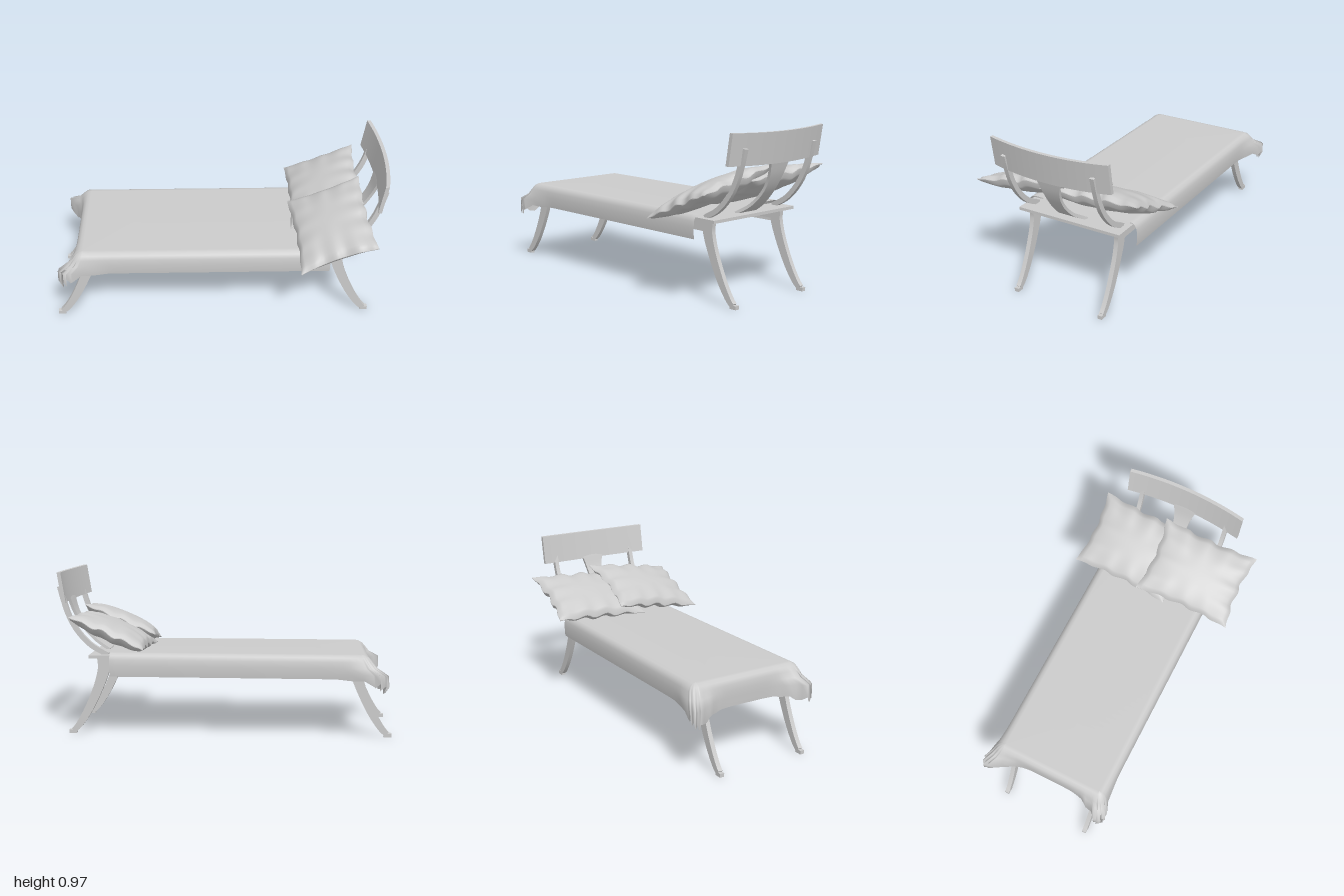
import * as THREE from 'three';

const grey = new THREE.MeshStandardMaterial({ color: 0xcccccc });
const cloth = new THREE.MeshStandardMaterial({ color: 0xcccccc, side: THREE.DoubleSide });
const MID = -0.02; // centre line of the frame in z

function add(parent, name, geometry, x = 0, y = 0, z = 0, material = grey) {
  const mesh = new THREE.Mesh(geometry, material);
  mesh.name = name;
  mesh.position.set(x, y, z);
  parent.add(mesh);
  return mesh;
}

// Apply a rule to every vertex
function bend(geometry, rule) {
  const p = geometry.attributes.position, v = new THREE.Vector3();
  for (let i = 0; i < p.count; i++) {
    rule(v.fromBufferAttribute(p, i));
    p.setXYZ(i, v.x, v.y, v.z);
  }
  geometry.computeVertexNormals();
  return geometry;
}

// Rectangular bar swept along a curve in the xy plane
function curvedBar(points, thickness, width, steps = 24) {
  const curve = new THREE.CatmullRomCurve3(points.map(([x, y]) => new THREE.Vector3(x, y, 0)));
  return bend(new THREE.BoxGeometry(1, 1, 1, 1, steps, 1), v => {
    const t = v.y + 0.5, c = curve.getPoint(t), d = curve.getTangent(t);
    const side = v.x * thickness(t);
    v.set(c.x + d.y * side, c.y - d.x * side, v.z * width(t));
  });
}

// Grid surface with shared vertices: point(i, j) returns [x, y, z]
function gridSurface(ni, nj, point) {
  const pos = [], index = [];
  for (let i = 0; i <= ni; i++) for (let j = 0; j <= nj; j++) pos.push(...point(i, j));
  for (let i = 0; i < ni; i++) for (let j = 0; j < nj; j++) {
    const a = i * (nj + 1) + j, b = a + nj + 1;
    index.push(a, b, a + 1, b, b + 1, a + 1);
  }
  const g = new THREE.BufferGeometry();
  g.setAttribute('position', new THREE.Float32BufferAttribute(pos, 3));
  g.setIndex(index);
  g.computeVertexNormals();
  return g;
}

// Cover: rounded U outline, draped in levels from the centre line to the hem
function blanketGeometry() {
  const zc = -0.025, half = 0.365, end = -0.865, r = 0.05, out = [];
  const run = (n, f) => { for (let i = 0; i < n; i++) out.push(f(i / n)); };
  const corner = (s, a) => [end + r - r * Math.sin(a), zc + s * (half - r + r * Math.cos(a)), -Math.sin(a), s * Math.cos(a)];
  run(40, t => [0.66 + (end + r - 0.66) * t, zc + half, 0, 1]);
  run(12, t => corner(1, t * Math.PI / 2));
  run(30, t => [end, zc + (half - r) * (1 - 2 * t), -1, 0]);
  run(12, t => corner(-1, (1 - t) * Math.PI / 2));
  run(41, t => [end + r + (0.66 - end - r) * t * 41 / 40, zc - half, 0, -1]);
  // inset, height, corner flare
  const levels = [[0.05, 0.5, 0], [0.03, 0.496, 0], [0.012, 0.484, 0.05], [0.002, 0.46, 0.15],
    [0, 0.425, 0.4], [0, 0.39, 0.95], [0.004, 0.36, 1]];
  return gridSurface(out.length - 1, levels.length, (i, j) => {
    const [x, z, nx, nz] = out[i];
    if (j === 0) return [Math.max(x, -0.5), 0.5, zc];
    const [inset, y, flare] = levels[j - 1];
    const s = Math.sign(z - zc) || 1;
    const f = Math.exp(-((Math.hypot(x - end, Math.abs(z - zc) - half + 0.02) / 0.1) ** 2));
    const k = f * flare, fold = Math.sin(i * 1.9) * k;
    const hem = j === levels.length ? 1 : 0;
    const drop = hem * (0.03 * nx * nx + 0.035 * f + 0.025 * fold);
    return [x - nx * inset - 0.1 * k + 0.015 * fold, y - drop, z - nz * inset + s * (s > 0 ? 0.045 : 0.06) * k + 0.01 * fold];
  });
}

// Cushion: two bulging faces with pinched, wavy edges and pointed corners
function cushionGeometry(length, width, thick, phase) {
  return bend(new THREE.BoxGeometry(2, 2, 2, 28, 1, 36), v => {
    const u = v.x, w = v.z, a = 1 - u * u, b = 1 - w * w;
    const puff = Math.pow(Math.max(a * b, 0), 0.42);
    const wrinkle = 0.007 * Math.sin(w * 13 + phase) * u * u * b + 0.007 * Math.sin(u * 11 + phase) * w * w * a;
    v.set(u * length / 2 * (1 - 0.07 * b) + wrinkle,
      v.y * (thick / 2 * puff + 0.002) + wrinkle * 1.2,
      w * width / 2 * (1 - 0.09 * a) + wrinkle);
  });
}

export function createModel() {
  const model = new THREE.Group();
  model.name = 'daybed';

  // Sabre legs; the foot pair is the head pair turned round
  const legShape = curvedBar([[0.895, 0.018], [0.868, 0.045], [0.81, 0.135], [0.737, 0.295], [0.706, 0.4], [0.704, 0.465]],
    t => 0.032 + 0.052 * Math.pow(t, 1.3), () => 0.027);
  for (const [end, x, zs] of [['head', 0, [0.265, -0.304]], ['foot', -0.08, [0.268, -0.286]]]) {
    for (const z of zs) {
      const leg = new THREE.Group();
      leg.name = end + 'Leg';
      add(leg, 'legPost', legShape);
      add(leg, 'toe', new THREE.BoxGeometry(0.045, 0.022, 0.027), 0.9, 0.011, 0);
      leg.position.set(x, 0, z);
      if (end === 'foot') leg.rotation.y = Math.PI;
      model.add(leg);
    }
  }

  // Frame: side rails, end rails and slats
  for (const z of [0.265, -0.304]) add(model, 'sideRail', new THREE.BoxGeometry(1.5, 0.065, 0.025), -0.05, 0.433, z);
  add(model, 'footRail', new THREE.BoxGeometry(0.025, 0.065, 0.55), -0.8, 0.433, MID);
  add(model, 'headPlate', new THREE.BoxGeometry(0.15, 0.018, 0.67), 0.715, 0.471, MID);
  const slats = 9, pitch = 1.43 / slats;
  for (let i = 0; i < slats; i++) {
    add(model, 'slat', new THREE.BoxGeometry(pitch - 0.015, 0.018, 0.55), -0.79 + pitch * (i + 0.5), 0.455, MID);
  }

  // Backrest: two stiles, a waisted splat and a bowed top board
  const rise = [[0.68, 0.478], [0.78, 0.535], [0.86, 0.62], [0.91, 0.71], [0.94, 0.8], [0.962, 0.885]];
  for (const z of [0.265, -0.304]) add(model, 'backStile', curvedBar(rise, () => 0.03, () => 0.026), 0, 0, z);
  const splat = [[0.71, 0.478], [0.8, 0.535], [0.88, 0.62], [0.93, 0.71], [0.962, 0.81]];
  add(model, 'backSplat', curvedBar(splat, () => 0.018, t => 0.09 + 0.28 * (t - 0.5) ** 2), 0, 0, MID);
  add(model, 'topBoard', bend(new THREE.BoxGeometry(0.022, 0.178, 0.75, 1, 4, 30), v => {
    const s = v.z / 0.375;
    v.x += 0.973 - 0.04 * s * s + v.y * 0.16;
    v.y += 0.873 + 0.009 * s * s;
  }), 0, 0, MID);

  // Draped cover
  add(model, 'blanket', blanketGeometry(), 0, 0, 0, cloth);

  // Two overlapping cushions leaning on the backrest
  const cushions = [[0.655, 0.612, -0.21, 0.065, 0, 0.4], [0.665, 0.615, 0.21, 0.16, 0.075, 2.1]];
  for (const [x, y, z, roll, yaw, phase] of cushions) {
    const c = add(model, 'cushion', cushionGeometry(0.47, 0.62, 0.125, phase), x, y, z);
    c.rotation.set(roll, yaw, 0.4, 'YXZ');
  }
  return model;
}
